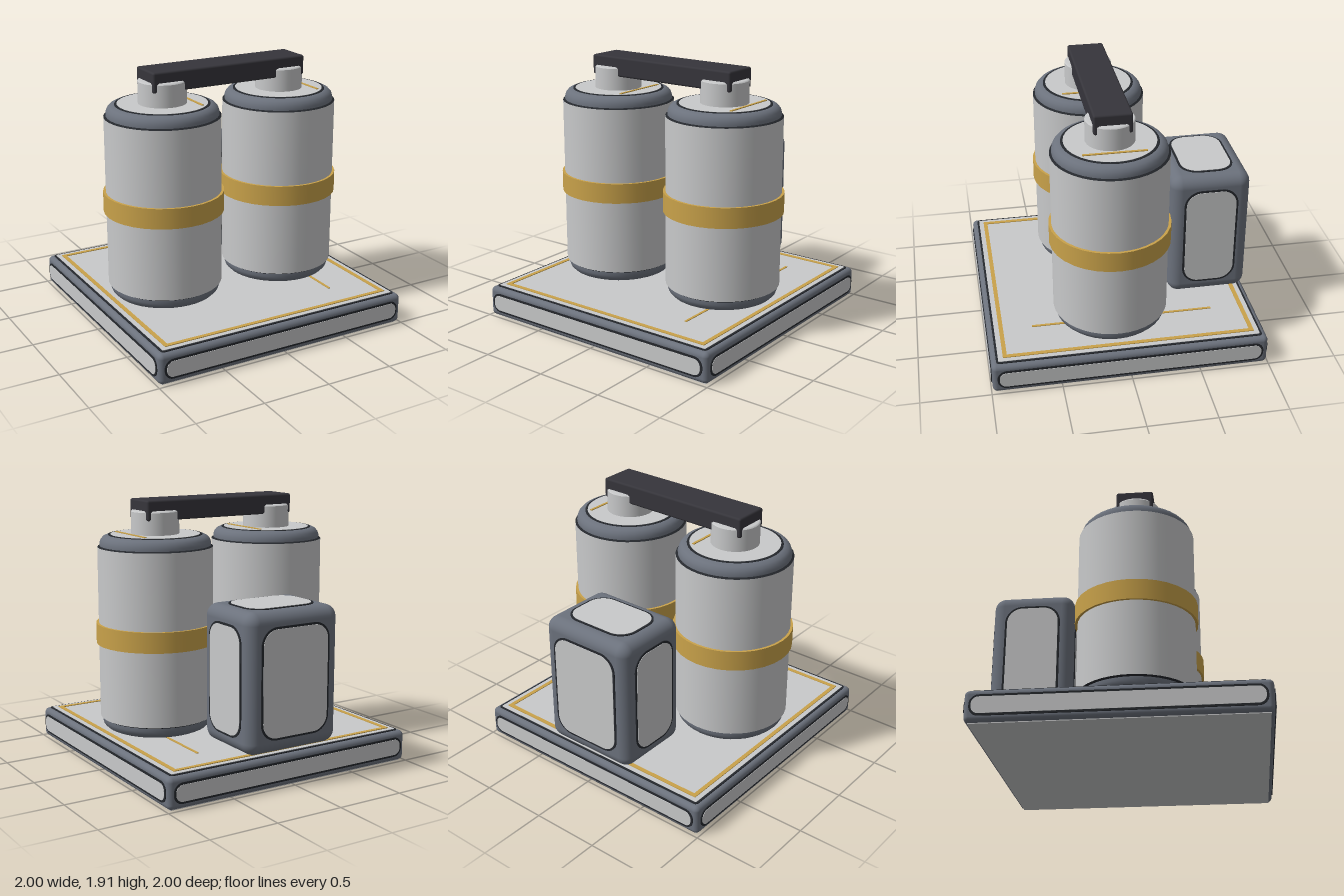
import * as THREE from 'three';
import { RoundedBoxGeometry } from 'three/addons/geometries/RoundedBoxGeometry.js';

const mat = (name, color) => {
  const m = new THREE.MeshStandardMaterial({ color });
  m.name = name;
  return m;
};

export function createModel() {
  const light = mat('light grey panel', 0xc8c9ca);
  const slate = mat('slate frame', 0x6c727d);
  const gold = mat('gold trim', 0xc9a24a);
  const dark = mat('charcoal', 0x36353b);
  const seam = mat('dark seam', 0x25282d);

  const model = new THREE.Group();
  model.name = 'twinTankUnit';

  const add = (parent, name, geo, material, x = 0, y = 0, z = 0) => {
    const mesh = new THREE.Mesh(geo, material);
    mesh.name = name;
    mesh.position.set(x, y, z);
    parent.add(mesh);
    return mesh;
  };
  const group = (name, x = 0, y = 0, z = 0) => {
    const g = new THREE.Group();
    g.name = name;
    g.position.set(x, y, z);
    model.add(g);
    return g;
  };
  const box = (parent, name, w, h, d, material, x, y, z) =>
    add(parent, name, new THREE.BoxGeometry(w, h, d), material, x, y, z);
  const lathe = (parent, name, pts, material) =>
    add(parent, name, new THREE.LatheGeometry(pts.map(p => new THREE.Vector2(...p)), 40), material);

  // Thin rounded rectangle facing +z
  const roundedPlate = (w, h, r, depth) => {
    const s = new THREE.Shape(), a = w / 2, b = h / 2;
    s.moveTo(-a + r, -b);
    s.lineTo(a - r, -b);
    s.absarc(a - r, -b + r, r, -Math.PI / 2, 0);
    s.absarc(a - r, b - r, r, 0, Math.PI / 2);
    s.absarc(-a + r, b - r, r, Math.PI / 2, Math.PI);
    s.absarc(-a + r, -b + r, r, Math.PI, Math.PI * 1.5);
    return new THREE.ExtrudeGeometry(s, { depth, bevelEnabled: false, curveSegments: 8 });
  };

  // Light panel with a dark seam around it
  const panel = (parent, name, w, h, r, pos, rx, ry) => {
    const g = new THREE.Group();
    g.name = name;
    g.position.set(...pos);
    g.rotation.set(rx, ry, 0);
    const t = 0.015;
    add(g, name + 'Seam', roundedPlate(w + 2 * t, h + 2 * t, r + t, 0.006), seam);
    add(g, name + 'Face', roundedPlate(w, h, r, 0.009), light);
    parent.add(g);
  };

  // Panels on the four upright sides
  const sidePanels = (parent, hx, hz, wx, wz, h, r) => {
    [[0, hz, 0, wx], [hx, 0, 1, wz], [0, -hz, 2, wx], [-hx, 0, 3, wz]].forEach(([x, z, turn, w], i) =>
      panel(parent, ['front', 'left', 'back', 'right'][i] + 'Panel', w, h, r, [x, 0, z], 0, turn * Math.PI / 2));
  };

  // Base slab
  const base = group('base', 0, 0.116, 0);
  add(base, 'baseFrame', new RoundedBoxGeometry(1.982, 0.222, 1.982, 4, 0.035), slate);
  sidePanels(base, 0.991, 0.991, 1.88, 0.115, 1.88 && 0.115, 0.05);
  base.children.filter(c => c.name.endsWith('Panel')).forEach(c => base.remove(c));
  sidePanels(base, 0.991, 0.991, 1.88, 1.88, 0.115, 0.05);
  panel(base, 'topPanel', 1.88, 1.88, 0.01, [0, 0.111, 0], -Math.PI / 2, 0);
  box(base, 'underside', 1.93, 0.006, 1.93, light, 0, -0.113, 0);

  // Gold inlay on the base
  const inlay = group('baseInlay', 0, 0.237, 0);
  for (const s of [-1, 1]) {
    box(inlay, 'inlayAcross', 1.81, 0.008, 0.03, gold, 0, 0, s * 0.89);
    box(inlay, 'inlayAlong', 0.03, 0.008, 1.75, gold, s * 0.89, 0, 0);
  }
  box(inlay, 'baseLine', 0.018, 0.008, 1.33, gold, 0.58, 0, 0);

  // Two tanks
  for (const s of [-1, 1]) {
    const tank = group(s > 0 ? 'leftTank' : 'rightTank', s * 0.48, 0, 0.075);
    lathe(tank, 'bottomCap', [[0, 0.236], [0.34, 0.24], [0.37, 0.253], [0.392, 0.275], [0.4, 0.3], [0.4, 0.325]], slate);
    lathe(tank, 'bottomSeam', [[0.398, 0.322], [0.415, 0.332]], seam);
    lathe(tank, 'tankBody', [[0.415, 0.332], [0.415, 1.568]], light);
    lathe(tank, 'topSeam', [[0.415, 1.568], [0.398, 1.578]], seam);
    lathe(tank, 'topCap', [[0.4, 1.575], [0.4, 1.595], [0.392, 1.62], [0.375, 1.64], [0.35, 1.652], [0.33, 1.653]], slate);
    lathe(tank, 'lidSeam', [[0.338, 1.652], [0.336, 1.657], [0.318, 1.657]], seam);
    add(tank, 'lid', new THREE.CylinderGeometry(0.32, 0.32, 0.02, 40), light, 0, 1.649, 0);
    add(tank, 'band', new THREE.CylinderGeometry(0.434, 0.434, 0.148, 32), gold, 0, 0.947, 0);
    lathe(tank, 'neck', [[0.172, 1.655], [0.172, 1.818]], light);
    lathe(tank, 'neckTop', [[0.172, 1.818], [0.162, 1.83], [0, 1.83]], light);
    box(tank, 'lidLine', 0.018, 0.008, 0.44, gold, 0.2, 1.661, 0);
  }

  // Beam joining both necks
  add(model, 'beam', new RoundedBoxGeometry(1.225, 0.145, 0.268, 2, 0.015), dark, 0, 1.833, 0.075);

  // Rear cabinet
  const cabinet = group('cabinet', 0, 0.734, -0.69);
  add(cabinet, 'cabinetFrame', new RoundedBoxGeometry(0.748, 0.98, 0.59, 5, 0.085), slate);
  sidePanels(cabinet, 0.374, 0.295, 0.53, 0.37, 0.75, 0.11);
  panel(cabinet, 'topPanel', 0.53, 0.37, 0.12, [0, 0.49, 0], -Math.PI / 2, 0);
  box(cabinet, 'cabinetLine', 0.016, 0.45, 0.008, gold, 0.15, 0, 0.306);

  return model;
}
